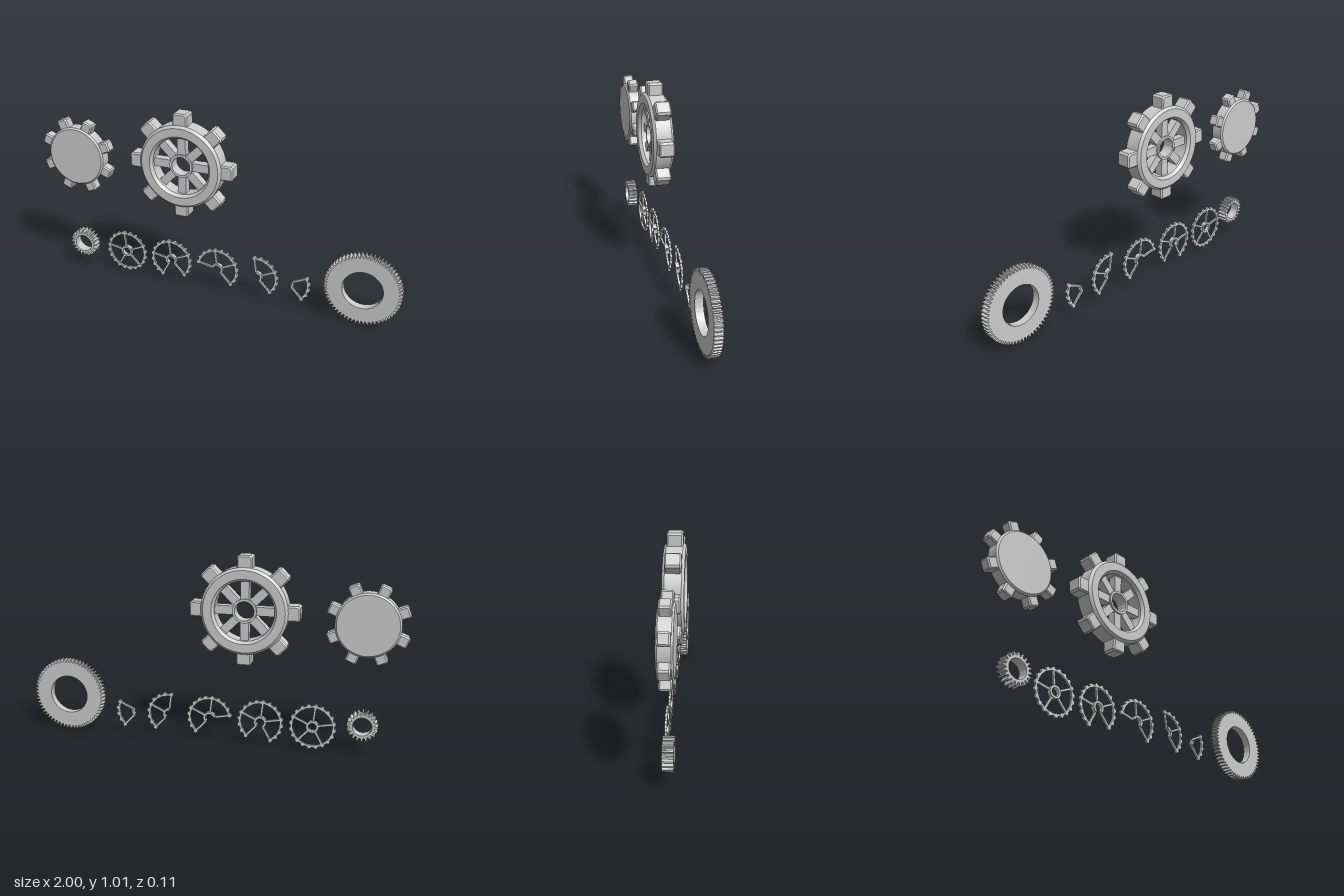
import * as THREE from 'three';
import { toCreasedNormals } from 'three/addons/utils/BufferGeometryUtils.js';

const material = new THREE.MeshStandardMaterial({ color: 0xcccccc });
const DEG = Math.PI / 180;

function add(parent, name, geometry) {
  const mesh = new THREE.Mesh(toCreasedNormals(geometry, 0.5), material);
  mesh.name = name;
  parent.add(mesh);
  return mesh;
}

function group(name, x, y, z = 0) {
  const g = new THREE.Group();
  g.name = name;
  g.position.set(x, y, z);
  return g;
}

// Extrusion centred on z = 0
function slab(shape, depth, bevel = 0) {
  const geometry = new THREE.ExtrudeGeometry(shape, {
    depth: depth - 2 * bevel, curveSegments: 48, bevelEnabled: bevel > 0,
    bevelSize: bevel, bevelThickness: bevel, bevelOffset: -bevel, bevelSegments: 1,
  });
  return geometry.translate(0, 0, bevel - depth / 2);
}

// Profile of (radius, z) points turned around the z axis
function turned(points) {
  const profile = points.map(([r, z]) => new THREE.Vector2(r, z));
  return new THREE.LatheGeometry(profile, 64).rotateX(Math.PI / 2);
}

// Full ring, or part of one between two angles
function ringShape(inner, outer, from, to) {
  const shape = new THREE.Shape();
  if (to - from >= 360) {
    shape.absarc(0, 0, outer, 0, Math.PI * 2, false);
    shape.holes.push(new THREE.Path().absarc(0, 0, inner, 0, Math.PI * 2, true));
  } else {
    shape.absarc(0, 0, outer, from * DEG, to * DEG, false);
    shape.absarc(0, 0, inner, to * DEG, from * DEG, true);
    shape.closePath();
  }
  return shape;
}

// Flat ring gear with trapezoid teeth
function toothedShape(root, tip, hole, count) {
  const points = [];
  const step = Math.PI * 2 / count;
  for (let i = 0; i < count; i++) {
    for (const [t, r] of [[-0.34, root], [-0.15, tip], [0.15, tip], [0.34, root]]) {
      const a = (i + t) * step;
      points.push(new THREE.Vector2(r * Math.cos(a), r * Math.sin(a)));
    }
  }
  const shape = new THREE.Shape(points);
  shape.holes.push(new THREE.Path().absarc(0, 0, hole, 0, Math.PI * 2, true));
  return shape;
}

// Eight chunky chamfered teeth around a wheel
function blockTeeth(parent, inner, outer, width, depth, start) {
  const h = width / 2, c = width * 0.13;
  const shape = new THREE.Shape([
    [inner, -h], [outer - c, -h], [outer, -h + c],
    [outer, h - c], [outer - c, h], [inner, h],
  ].map(([x, y]) => new THREE.Vector2(x, y)));
  const geometry = slab(shape, depth, 0.007);
  for (let i = 0; i < 8; i++) {
    add(parent, 'tooth', geometry).rotation.z = (start + i * 45) * DEG;
  }
}

// Solid disc gear with chamfered faces
function discGear() {
  const g = group('discGear', -0.797, 0.69);
  add(g, 'disc', turned([
    [0, -0.037], [0.154, -0.037], [0.163, -0.029],
    [0.163, 0.029], [0.154, 0.037], [0, 0.037],
  ]));
  blockTeeth(g, 0.14, 0.211, 0.06, 0.058, 22.5);
  return g;
}

// Large wheel with eight spokes and an open hub
function spokedWheel() {
  const g = group('spokedWheel', -0.18, 0.728);
  add(g, 'rim', turned([
    [0.155, -0.036], [0.168, -0.053], [0.212, -0.053], [0.225, -0.04],
    [0.225, 0.04], [0.212, 0.053], [0.168, 0.053], [0.155, 0.036], [0.155, -0.036],
  ]));
  add(g, 'hub', turned([
    [0.05, -0.032], [0.063, -0.032], [0.063, 0.032], [0.05, 0.032], [0.05, -0.032],
  ]));
  const spoke = new THREE.BoxGeometry(0.105, 0.045, 0.044).translate(0.11, 0, 0);
  for (let i = 0; i < 8; i++) add(g, 'spoke', spoke).rotation.z = i * 45 * DEG;
  blockTeeth(g, 0.2, 0.285, 0.08, 0.08, 0);
  return g;
}

// Thin five-spoke gear, keeping only some of its five sectors
function sectorGear(name, x, from, sectors) {
  const g = group(name, x, 0.135, -0.017);
  const to = from + sectors * 72;
  const full = sectors === 5;
  add(g, 'rim', slab(ringShape(0.103, 0.114, from, to), 0.011));
  add(g, 'hub', slab(ringShape(0.021, 0.033, from, to), 0.02));
  const spoke = new THREE.BoxGeometry(0.08, 0.011, 0.01).translate(0.068, 0, 0);
  for (let i = 0; i < sectors + (full ? 0 : 1); i++) {
    add(g, 'spoke', spoke).rotation.z = (from + i * 72) * DEG;
  }
  // Round teeth, four to each sector
  const knob = new THREE.CylinderGeometry(0.011, 0.011, 0.012, 16).rotateX(Math.PI / 2).translate(0.112, 0, 0);
  for (let i = 0; i < sectors * 4 + (full ? 0 : 1); i++) {
    add(g, 'roundTooth', knob).rotation.z = (from + i * 18) * DEG;
  }
  return g;
}

export function createModel() {
  const model = new THREE.Group();
  model.name = 'gearSet';

  const pinion = group('pinion', -0.795, 0.157, 0.006);
  add(pinion, 'toothedRing', slab(toothedShape(0.062, 0.079, 0.049, 20), 0.053));

  const ringGear = group('ringGear', 0.8, 0.2);
  add(ringGear, 'toothedRing', slab(toothedShape(0.184, 0.2, 0.105, 60), 0.042));

  model.add(
    discGear(),
    spokedWheel(),
    pinion,
    ringGear,
    sectorGear('wholeSpokeGear', -0.543, -47, 5),
    sectorGear('fourSectorGear', -0.27, -47, 4),
    sectorGear('threeSectorGear', 0.003, -47, 3),
    sectorGear('twoSectorGear', 0.227, -47, 2),
    sectorGear('oneSectorGear', 0.402, -47, 1),
  );
  return model;
}
